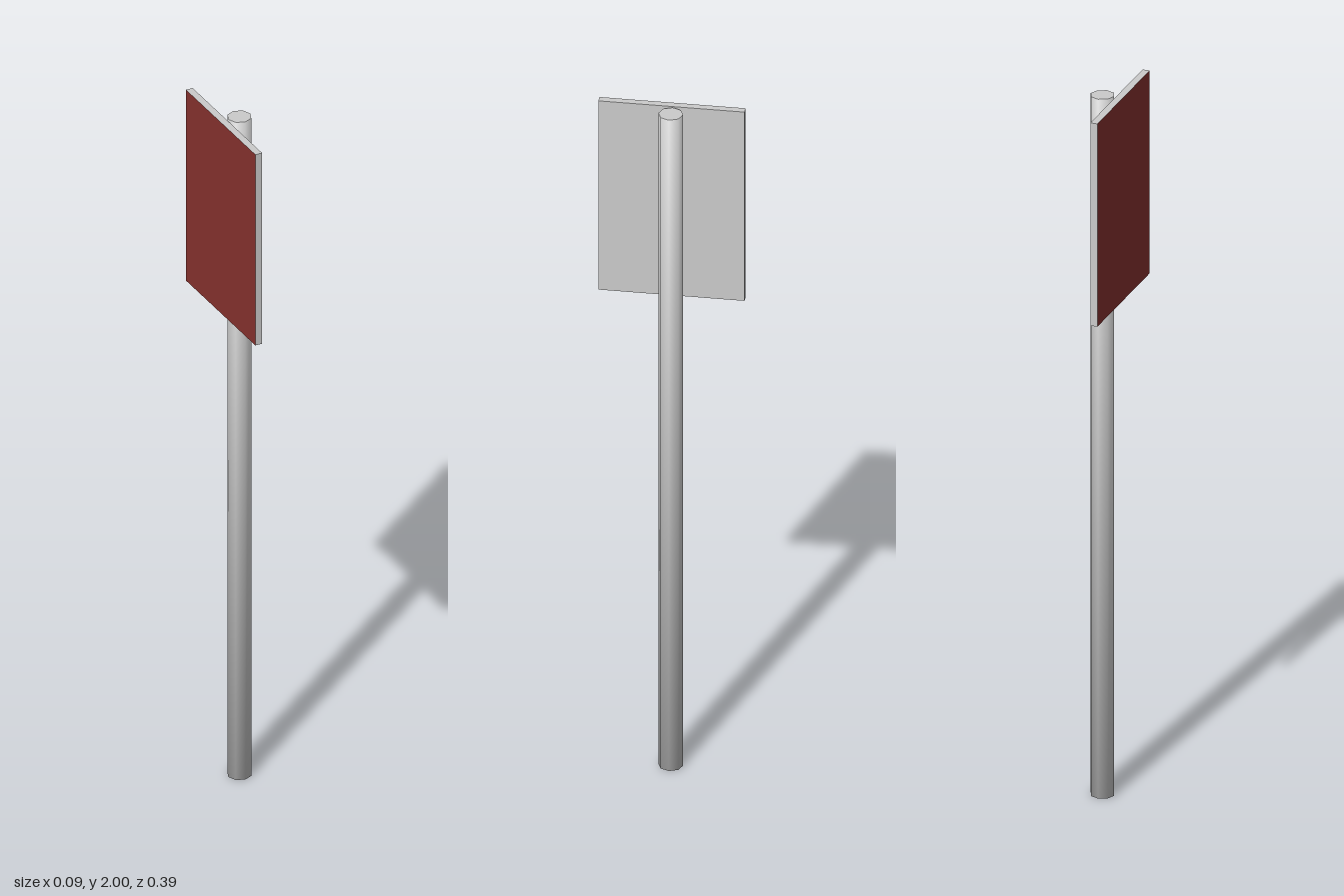
import * as THREE from 'three';

export function createModel() {
  const model = new THREE.Group();
  const grey = new THREE.MeshStandardMaterial({ color: 0xcccccc });
  const red = new THREE.MeshStandardMaterial({ color: 0x8a3330 });

  // Eight-sided post, shaded softly into its ends
  const postGeometry = new THREE.CylinderGeometry(0.033, 0.033, 2, 8);
  const { position, normal } = postGeometry.attributes;
  const n = new THREE.Vector3();
  for (let i = 0; i < normal.count; i++) {
    n.fromBufferAttribute(normal, i);
    if (Math.abs(n.y) > 0.5) continue; // end caps stay flat
    n.y = 0.5 * Math.sign(position.getY(i));
    n.normalize();
    normal.setXYZ(i, n.x, n.y, n.z);
  }
  const post = new THREE.Mesh(postGeometry, grey);
  post.name = 'post';
  post.position.set(0.012, 1, -0.004);
  model.add(post);

  // Sign panel beside the post, red on its outer (-x) face
  const panel = new THREE.Mesh(
    new THREE.BoxGeometry(0.02, 0.58, 0.39),
    [grey, red, grey, grey, grey, grey]
  );
  panel.name = 'signPanel';
  panel.position.set(-0.036, 1.71, 0);
  model.add(panel);

  return model;
}
